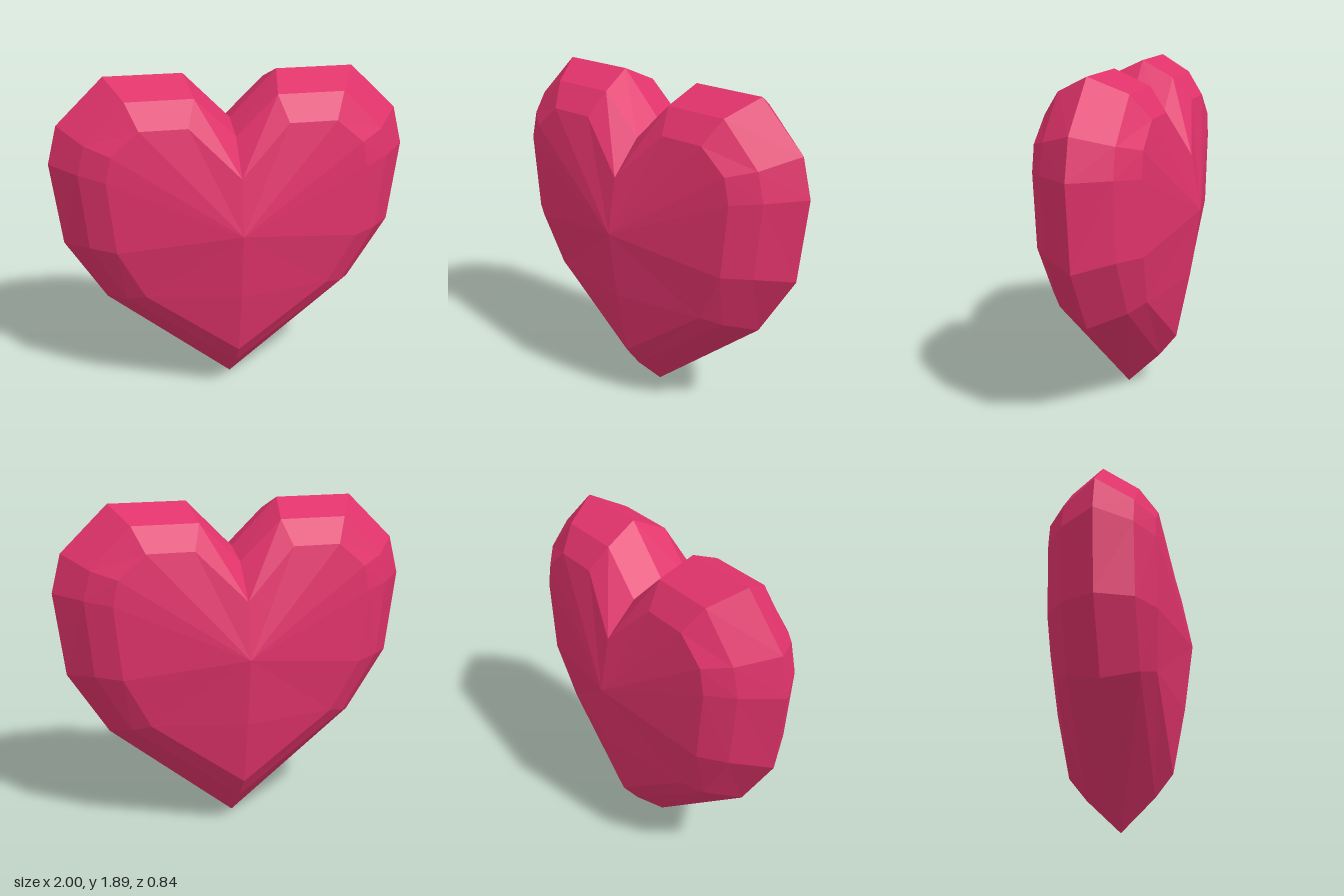
import * as THREE from 'three';

// Half outlines [x, y, z], running from the top notch around to the bottom tip
const rim = [[0, 1.63, 0], [0.257, 1.89, 0], [0.683, 1.89, 0], [0.945, 1.635, 0],
  [1, 1.42, 0], [0.945, 0.95, 0], [0.72, 0.59, 0], [0, 0, 0]];
const bevel = [[0, 1.58, 0.19], [0.225, 1.8, 0.19], [0.59, 1.8, 0.19], [0.81, 1.575, 0.19],
  [0.85, 1.415, 0.19], [0.81, 0.99, 0.19], [0.62, 0.66, 0.19], [0, 0.19, 0.19]];
const crown = [[0, 1.4, 0.365], [0.27, 1.67, 0.29], [0.53, 1.67, 0.29], [0.68, 1.54, 0.29],
  [0.71, 1.4, 0.29], [0.67, 0.99, 0.29], [0.52, 0.7, 0.265], [0, 0.32, 0.29]];
const peak = [0, 1.09, 0.42];
const keel = [0, 0.7, 0.365];

// Triangles of the front left quarter
function quarterTriangles() {
  const tris = [];
  for (const [a, b] of [[rim, bevel], [bevel, crown]]) {
    for (let i = 0; i < 7; i++) {
      tris.push([a[i], b[i], a[i + 1]], [b[i], b[i + 1], a[i + 1]]);
    }
  }
  // shallow face fanning out from the peak
  for (let i = 0; i < 6; i++) tris.push([peak, crown[i + 1], crown[i]]);
  tris.push([peak, keel, crown[6]], [keel, crown[7], crown[6]]);
  return tris;
}

export function createModel() {
  const group = new THREE.Group();
  group.name = 'heart';

  // Mirror the quarter to all four sides, reversing corners where needed
  const positions = [];
  for (const sx of [1, -1]) {
    for (const sz of [1, -1]) {
      for (const [a, b, c] of quarterTriangles()) {
        for (const p of sx * sz > 0 ? [a, b, c] : [a, c, b]) {
          positions.push(p[0] * sx, p[1], p[2] * sz);
        }
      }
    }
  }

  const geometry = new THREE.BufferGeometry();
  geometry.setAttribute('position', new THREE.Float32BufferAttribute(positions, 3));
  geometry.computeVertexNormals();

  const heart = new THREE.Mesh(geometry,
    new THREE.MeshStandardMaterial({ color: 0xe0336b, flatShading: true }));
  heart.name = 'heartBody';
  group.add(heart);
  return group;
}
